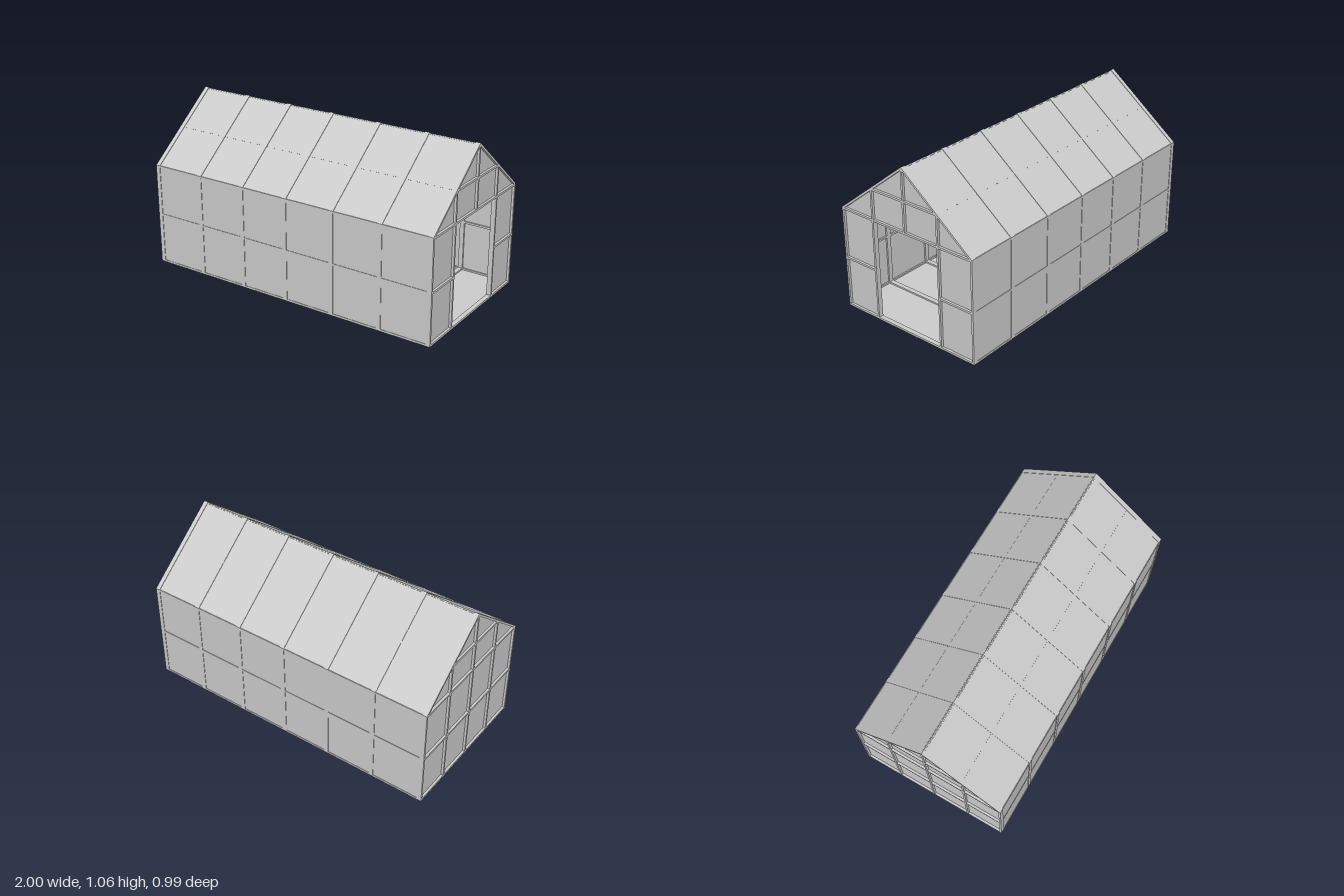
import * as THREE from 'three';

const HALF_L = 1, HALF_W = 0.497, EAVE = 0.662, RIDGE = 1.057;
const BAR = 0.013, DEPTH = 0.03, MID_Z = 0.248, MID_Y = 0.33, TIE_Y = 0.857;

const frameMat = new THREE.MeshStandardMaterial({ color: 0xcccccc });
const paneMat = new THREE.MeshStandardMaterial({ color: 0xcccccc, side: THREE.DoubleSide });

// House outline in (z, y), moved inwards by d on every side
function outline(d, path = new THREE.Shape()) {
  const slope = (RIDGE - EAVE) / HALF_W;
  const drop = d * Math.sqrt(1 + slope * slope);
  const w = HALF_W - d, eave = EAVE + slope * d - drop;
  path.moveTo(-w, d);
  path.lineTo(w, d);
  path.lineTo(w, eave);
  path.lineTo(0, RIDGE - drop);
  path.lineTo(-w, eave);
  path.closePath();
  return path;
}

export function createModel() {
  const model = new THREE.Group();

  function add(name, geometry, material, parent = model) {
    const mesh = new THREE.Mesh(geometry, material);
    mesh.name = name;
    parent.add(mesh);
    return mesh;
  }
  function box(name, x, y, z, w, h, d, parent) {
    add(name, new THREE.BoxGeometry(w, h, d), frameMat, parent).position.set(x, y, z);
  }

  // Flat pane stretched between two outline points along the length
  function longPane(name, a, b) {
    const x = HALF_L - 0.012;
    const geo = new THREE.BufferGeometry();
    geo.setAttribute('position', new THREE.Float32BufferAttribute(
      [-x, a.y, a.x, x, a.y, a.x, x, b.y, b.x, -x, b.y, b.x], 3));
    geo.setIndex([0, 1, 2, 0, 2, 3]);
    geo.computeVertexNormals();
    add(name, geo, paneMat);
  }

  // Portal frames: posts, rafters and sill in one mitred piece
  const portal = outline(0);
  portal.holes.push(outline(BAR, new THREE.Path()));
  const portalGeo = new THREE.ExtrudeGeometry(portal, { depth: DEPTH, bevelEnabled: false });
  portalGeo.translate(0, 0, -DEPTH / 2).rotateY(-Math.PI / 2);
  for (const x of [-0.985, -0.647, -0.32, 0, 0.333, 0.66, 0.985]) {
    add('portalFrame', portalGeo, frameMat).position.x = x;
  }

  // Floor, side walls and roof slopes, just under the frame surface
  const p = outline(0.003).getPoints();
  longPane('floor', p[1], p[0]);
  longPane('wallPaneFront', p[1], p[2]);
  longPane('roofPaneFront', p[2], p[3]);
  longPane('roofPaneBack', p[3], p[4]);
  longPane('wallPaneBack', p[4], p[0]);

  // Lengthwise rails, mirrored front to back
  const len = 2 * HALF_L - 0.004;
  const pitch = Math.atan2(RIDGE - EAVE, HALF_W);
  for (const s of [-1, 1]) {
    for (const y of [BAR / 2, MID_Y, EAVE - BAR / 2]) {
      box('sideRail', 0, y, s * (HALF_W - BAR / 2), len, BAR, BAR);
    }
    const purlin = add('purlin', new THREE.BoxGeometry(len, BAR, BAR), frameMat);
    purlin.position.set(0, TIE_Y - 0.006, s * (MID_Z - 0.003));
    purlin.rotation.x = s * pitch;
  }
  box('ridgeBeam', 0, RIDGE - 0.015, 0, len, BAR, BAR);

  // End walls; the one at +x has a doorway
  for (const s of [-1, 1]) {
    const end = new THREE.Group();
    end.name = s > 0 ? 'doorEnd' : 'closedEnd';
    model.add(end);
    const x = s * 0.985;

    const wall = outline(0.004);
    if (s > 0) {
      const z = MID_Z - BAR / 2;
      const door = new THREE.Path();
      door.moveTo(-z, 0.0045);
      door.lineTo(-z, EAVE - BAR);
      door.lineTo(z, EAVE - BAR);
      door.lineTo(z, 0.0045);
      door.closePath();
      wall.holes.push(door);
    }
    const pane = add('endPane', new THREE.ShapeGeometry(wall), paneMat, end);
    pane.rotation.y = -Math.PI / 2;
    pane.position.x = x;

    // Cross rails and gable tie
    box('eaveRail', x, EAVE - BAR / 2, 0, DEPTH, BAR, 2 * HALF_W - 0.004, end);
    box('gableTie', x, TIE_Y - BAR / 2, 0, DEPTH, BAR, 2 * MID_Z, end);
    for (const m of [-1, 1]) {
      box('middleRail', x, MID_Y, m * (HALF_W + MID_Z) / 2, DEPTH, BAR, HALF_W - MID_Z, end);
      box('innerPost', x, (TIE_Y - BAR / 2) / 2, m * MID_Z, DEPTH, TIE_Y - BAR / 2, BAR, end);
    }

    // Centre post, starting above the doorway on the open end
    const base = s > 0 ? EAVE - BAR : 0;
    const top = RIDGE - 0.012;
    box('centrePost', x, (base + top) / 2, 0, DEPTH, top - base, BAR, end);
    if (s < 0) box('middleRail', x, MID_Y, 0, DEPTH, BAR, 2 * MID_Z, end);
  }

  return model;
}
